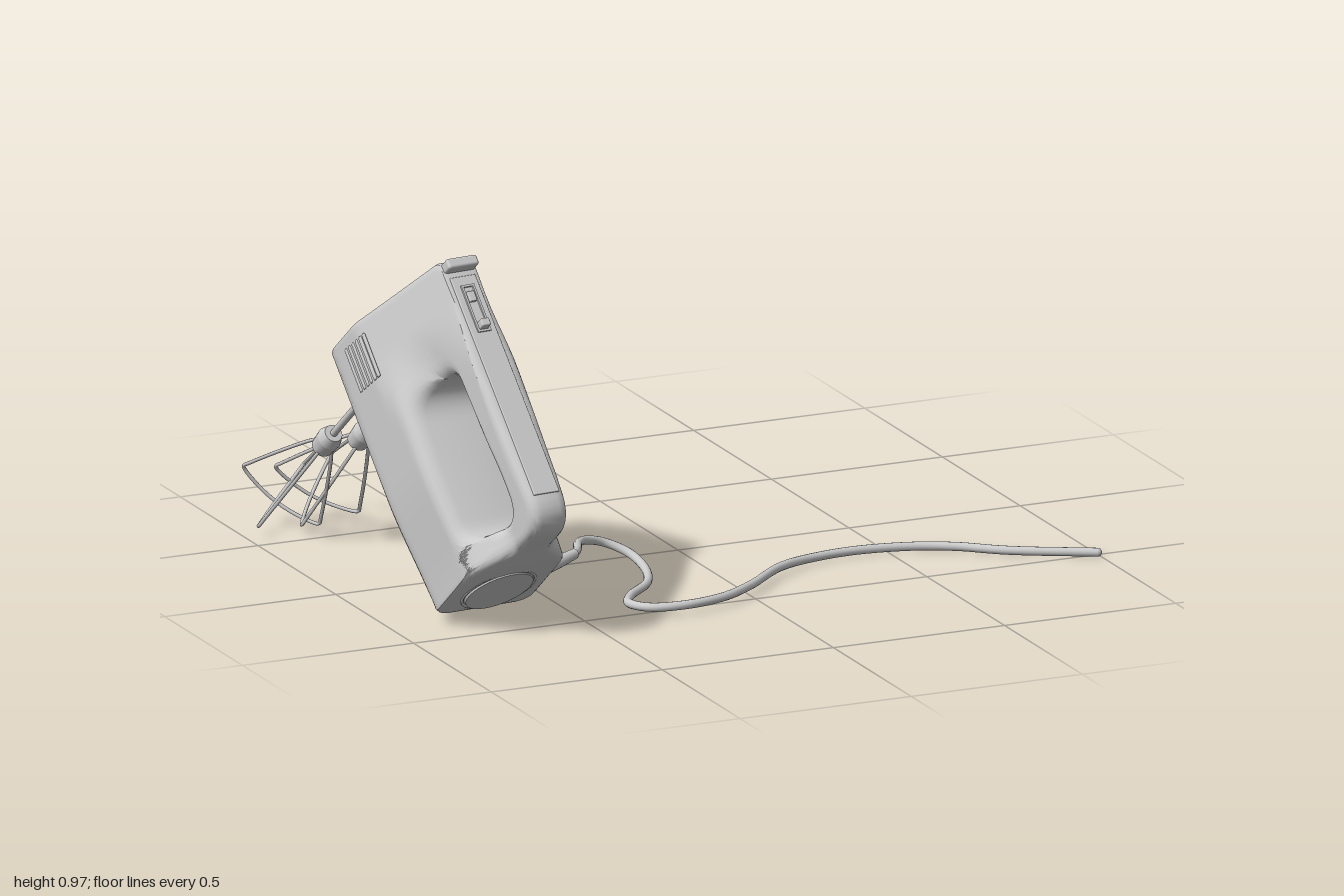
import * as THREE from 'three';
import { toCreasedNormals } from 'three/addons/utils/BufferGeometryUtils.js';
import { RoundedBoxGeometry } from 'three/addons/geometries/RoundedBoxGeometry.js';

const grey = new THREE.MeshStandardMaterial({ color: 0xcccccc });
const V2 = (x, y) => new THREE.Vector2(x, y);
const V3 = (x, y, z) => new THREE.Vector3(x, y, z);
const { smoothstep, lerp } = THREE.MathUtils;

function add(parent, name, geometry, x = 0, y = 0, z = 0) {
  const mesh = new THREE.Mesh(geometry, grey);
  mesh.name = name;
  mesh.position.set(x, y, z);
  parent.add(mesh);
  return mesh;
}

// Rounded polygon sampled with a fixed count per corner and side; corners are [z, y, radius]
function outline(corners) {
  const pts = [], n = corners.length;
  const P = corners.map(([z, y]) => V2(z, y));
  const toward = (i, k) => P[i].clone().add(
    P[(i + k + n) % n].clone().sub(P[i]).setLength(corners[i][2]));
  for (let i = 0; i < n; i++) {
    const end = toward(i, 1), next = toward((i + 1) % n, -1);
    pts.push(...new THREE.QuadraticBezierCurve(toward(i, -1), P[i], end).getPoints(8));
    for (let s = 1; s < 18; s++) pts.push(end.clone().lerp(next, s / 18));
  }
  return pts;
}

// Half width of the housing at depth z and length y
function halfWidth(z, y) {
  const head = z < 0.2 ? 0.168 : lerp(0.168, 0.05, (z - 0.2) / 0.33);
  const grip = lerp(0.168, 0.065, smoothstep(z, 0.25, 0.4));
  let w = lerp(grip, Math.max(head, 0.045), smoothstep(y, 0.46, 0.68));
  w *= 0.88 + 0.12 * smoothstep(y, 0, 0.35);
  const r = 0.055, k = Math.max(0, r - z);
  return w - r + Math.sqrt(Math.max(0, r * r - k * k));
}

const edgeDrop = (d, r) => (d < r ? r - Math.sqrt(Math.max(0, r * r - (r - d) ** 2)) : 0);

// Housing: a closed skin that runs around the handle opening
function housingGeometry() {
  const outer = outline([[0, 0, 0.035], [0, 0.795, 0.02], [0.53, 0.795, 0.025], [0.545, -0.012, 0.1]]);
  const hole = outline([[0.28, 0.075, 0.07], [0.295, 0.52, 0.08], [0.44, 0.52, 0.07], [0.44, 0.075, 0.07]]);
  const pos = [], idx = [], n = outer.length;
  let m = 0;
  for (let i = 0; i < n; i++) {
    const P = outer[i], H = hole[i], L = P.distanceTo(H);
    const r = Math.min(0.03, 0.01 + 0.02 * (1 - smoothstep(P.y, 0.02, 0.12))
      + 0.016 * smoothstep(P.x, 0.4, 0.5) * (1 - smoothstep(P.y, 0.6, 0.75)));
    const ds = [0, 0.003, 0.01, 0.022, 0.038];
    for (let s = 1; s < 12; s++) ds.push(lerp(0.038, L - 0.03, s / 12));
    ds.push(L - 0.03, L - 0.015, L - 0.005, L);
    const half = ds.map((d) => {
      const p = P.clone().lerp(H, d / L);
      return [halfWidth(p.x, p.y) - edgeDrop(d, r) - edgeDrop(L - d, 0.03), p.y, p.x];
    });
    const ring = [...half, ...half.map(([x, y, z]) => [-x, y, z]).reverse()];
    m = ring.length;
    pos.push(...ring.flat());
  }
  for (let i = 0; i < n; i++) for (let j = 0; j < m; j++) {
    const i2 = (i + 1) % n, j2 = (j + 1) % m;
    const a = i * m + j, b = i2 * m + j, c = i2 * m + j2, d = i * m + j2;
    idx.push(a, b, c, a, c, d);
  }
  const g = new THREE.BufferGeometry();
  g.setAttribute('position', new THREE.Float32BufferAttribute(pos, 3));
  g.setIndex(idx);
  return toCreasedNormals(g, 0.6);
}

// One beater pointing along -z: shaft, collar and two crossed wire loops
function makeBeater(turn) {
  const g = new THREE.Group();
  g.name = 'beater';
  const rod = (name, r1, r2, z1, z2, sides = 20) => {
    const c = new THREE.CylinderGeometry(r1, r2, z1 - z2, sides).rotateX(Math.PI / 2);
    add(g, name, toCreasedNormals(c, 0.6), 0, 0, (z1 + z2) / 2);
  };
  rod('socketRing', 0.03, 0.03, 0.01, -0.022);
  rod('shaftFlange', 0.038, 0.038, -0.022, -0.03, 8);
  rod('shaft', 0.01, 0.01, 0, -0.66 + 0.34);
  rod('collar', 0.025, 0.034, -0.285, -0.315);
  rod('collarEnd', 0.034, 0.03, -0.315, -0.365);
  for (let k = 0; k < 2; k++) {
    const a = turn + k * Math.PI / 2;
    const at = (r, z) => V3(r * Math.cos(a), r * Math.sin(a), z);
    const side = [[0.022, -0.35], [0.035, -0.375], [0.08, -0.5], [0.12, -0.625], [0.127, -0.65], [0.118, -0.66], [0.06, -0.682]];
    const pts = [...side.map(([r, z]) => at(r, z)), at(0, -0.69),
      ...side.map(([r, z]) => at(-r, z)).reverse()];
    add(g, 'wireLoop', new THREE.TubeGeometry(new THREE.CatmullRomCurve3(pts, false, 'centripetal'), 90, 0.005, 8));
  }
  return g;
}

export function createModel() {
  const model = new THREE.Group();
  model.name = 'handMixer';

  // Mixer stands tilted: local y runs along the body, local z toward the handle
  const yaw = new THREE.Group();
  yaw.name = 'mixer';
  yaw.position.set(-0.765, 0, 0);
  yaw.rotation.y = 0.105;
  model.add(yaw);
  const body = new THREE.Group();
  body.name = 'mixerBody';
  body.position.set(0, 0.012, 0.33);
  body.rotation.x = -0.72;
  yaw.add(body);

  add(body, 'housing', housingGeometry());

  // Speed dial on the end face
  const dial = new THREE.Group();
  dial.name = 'speedDial';
  dial.position.set(0, 0.795, 0.19);
  body.add(dial);
  const dialProfile = [[0, 0.004], [0.05, 0.004], [0.056, 0.01], [0.064, 0.01], [0.07, 0]].map(([x, y]) => V2(x, y));
  add(dial, 'dialDisc', toCreasedNormals(new THREE.LatheGeometry(dialProfile.reverse(), 40), 0.5)).material =
    new THREE.MeshStandardMaterial({ color: 0xcccccc, side: THREE.DoubleSide });
  add(dial, 'dialGrip', new RoundedBoxGeometry(0.1, 0.02, 0.018, 2, 0.006), 0, 0.006, 0).rotation.y = 0.35;
  for (let k = 0; k < 9; k++) {
    const a = Math.PI * (k / 8);
    add(dial, 'dialMark', new THREE.CylinderGeometry(0.003, 0.003, 0.002, 8),
      0.085 * Math.cos(a), 0.001, 0.085 * Math.sin(a));
  }

  // Side vents
  for (const s of [-1, 1]) for (let k = 0; k < 6; k++)
    add(body, 'ventSlot', new RoundedBoxGeometry(0.008, 0.13, 0.013, 2, 0.004),
      s * 0.167, 0.695 - 0.002 * k, 0.115 + k * 0.022);

  // Handle strip, slide switch and eject button
  add(body, 'handleStrip', new RoundedBoxGeometry(0.078, 0.66, 0.008, 2, 0.003), 0, 0.41, 0.537).rotation.x = -0.017;
  const frame = new THREE.Shape([V2(-0.02, -0.07), V2(0.02, -0.07), V2(0.02, 0.07), V2(-0.02, 0.07)]);
  frame.holes.push(new THREE.Path([V2(-0.014, -0.064), V2(-0.014, 0.064), V2(0.014, 0.064), V2(0.014, -0.064)]));
  add(body, 'switchFrame', new THREE.ExtrudeGeometry(frame, { depth: 0.006, bevelEnabled: false }), 0, 0.64, 0.537);
  add(body, 'slideSwitch', new RoundedBoxGeometry(0.027, 0.022, 0.03, 2, 0.004), 0, 0.588, 0.55);
  add(body, 'switchStop', new RoundedBoxGeometry(0.022, 0.03, 0.012, 2, 0.003), 0, 0.675, 0.54);
  add(body, 'ejectButton', new RoundedBoxGeometry(0.094, 0.03, 0.055, 3, 0.008), 0, 0.77, 0.537);

  // Round cap under the body
  const cap = add(body, 'baseCap', toCreasedNormals(new THREE.CylinderGeometry(0.1, 0.095, 0.014, 40), 0.5), 0, -0.002, 0.135);
  cap.scale.z = 1.05;
  add(body, 'baseCapRim', new THREE.TorusGeometry(0.104, 0.004, 8, 40).rotateX(Math.PI / 2), 0, -0.002, 0.135);

  // Two beaters
  for (const s of [-1, 1]) {
    const beater = makeBeater(s < 0 ? 0.66 : 0.85);
    beater.position.set(s * 0.055, 0.69, 0);
    body.add(beater);
  }

  // Strain relief and power cord lying on the ground
  const relief = new THREE.CatmullRomCurve3([V3(-0.6, 0.12, 0.36), V3(-0.54, 0.12, 0.348), V3(-0.49, 0.125, 0.33), V3(-0.44, 0.13, 0.305)]);
  const reliefGeo = new THREE.TubeGeometry(relief, 24, 1, 16);
  const p = reliefGeo.attributes.position;
  for (let i = 0; i < p.count; i++) {
    const t = Math.floor(i / 17) / 24, c = relief.getPointAt(t);
    const q = V3().fromBufferAttribute(p, i).sub(c).multiplyScalar(lerp(0.024, 0.014, t)).add(c);
    p.setXYZ(i, q.x, q.y, q.z);
  }
  reliefGeo.computeVertexNormals();
  add(model, 'strainRelief', reliefGeo);

  const path = [
    [-0.47, 0.127, 0.32], [-0.43, 0.13, 0.29], [-0.38, 0.122, 0.195], [-0.33, 0.108, 0.135], [-0.27, 0.09, 0.115],
    [-0.215, 0.065, 0.15], [-0.2, 0.042, 0.22], [-0.235, 0.03, 0.32], [-0.32, 0.025, 0.4], [-0.352, 0.024, 0.46],
    [-0.32, 0.026, 0.525], [-0.23, 0.03, 0.555], [-0.11, 0.03, 0.53], [0, 0.029, 0.46], [0.15, 0.028, 0.33],
    [0.27, 0.022, 0.27], [0.41, 0.02, 0.25], [0.57, 0.017, 0.27], [0.67, 0.016, 0.315], [0.78, 0.015, 0.4], [0.99, 0.016, 0.52],
  ].map((q) => V3(...q));
  add(model, 'powerCord', new THREE.TubeGeometry(new THREE.CatmullRomCurve3(path), 200, 0.012, 12));
  const tip = add(model, 'cordTip', new THREE.SphereGeometry(0.012, 12, 8));
  tip.position.copy(path[path.length - 1]);

  return model;
}
